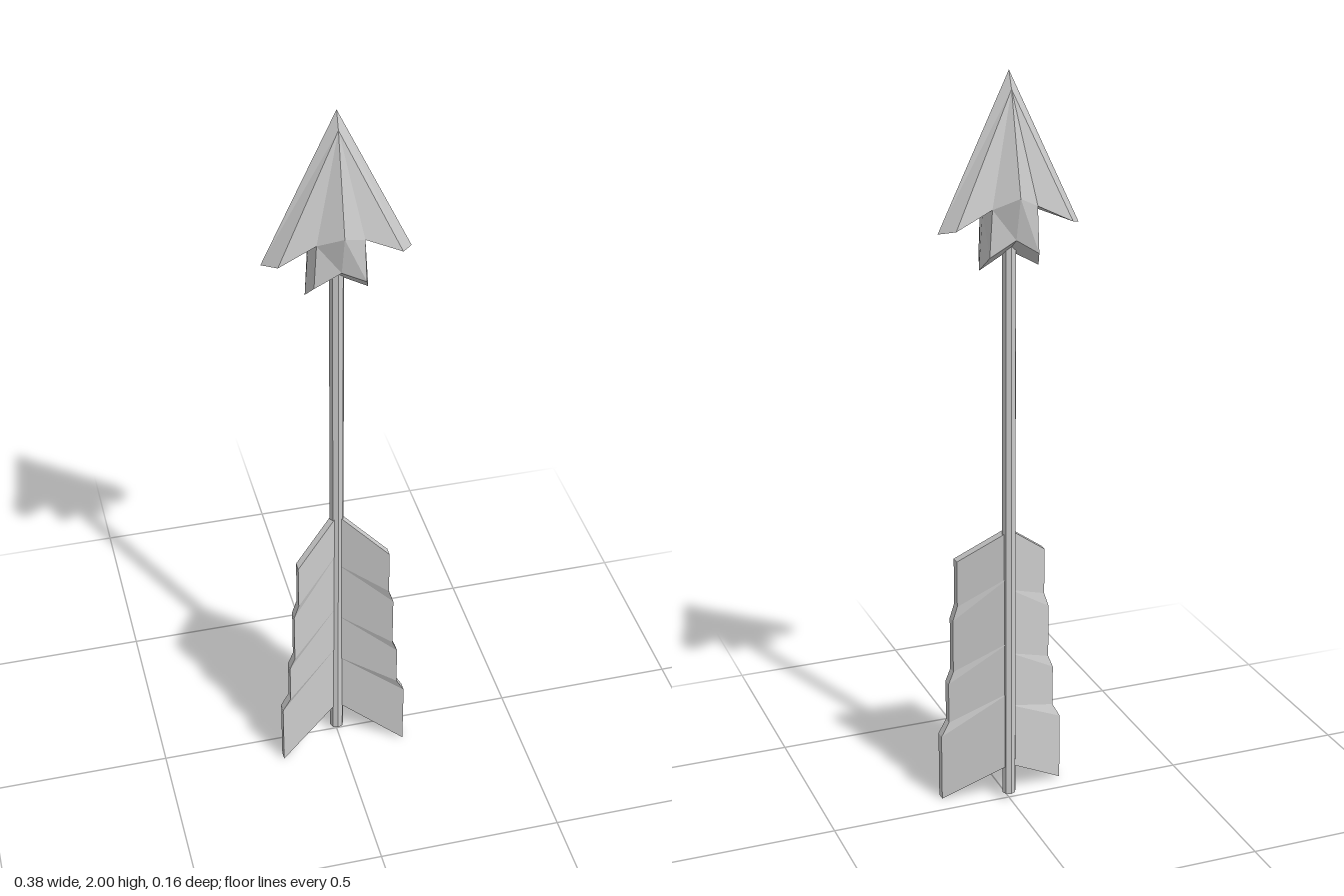
import * as THREE from 'three';

const material = new THREE.MeshStandardMaterial({ color: 0xcccccc, flatShading: true });

// Flat-faced mesh from polygons (arrays of [x, y, z] corners, counter-clockwise).
function facetMesh(name, polygons) {
  const pos = [];
  for (const p of polygons)
    for (let i = 1; i < p.length - 1; i++) pos.push(...p[0], ...p[i], ...p[i + 1]);
  const geo = new THREE.BufferGeometry();
  geo.setAttribute('position', new THREE.Float32BufferAttribute(pos, 3));
  geo.computeVertexNormals();
  const mesh = new THREE.Mesh(geo, material);
  mesh.name = name;
  return mesh;
}

// Reflect polygons across an axis (0 = x, 2 = z), keeping faces outward.
const mirror = (polygons, axis) =>
  polygons.map(p => p.map(v => v.map((c, i) => (i === axis ? -c : c))).reverse());

// Bevelled barbed head: one quarter, mirrored in z and x.
function arrowhead() {
  const tip = [0, 2, 0], barb = [0.188, 1.607, 0], notch = [0.07, 1.652, 0];
  const tail = [0.08, 1.505, 0], tailMid = [0, 1.55, 0];
  const ridgeTop = [0, 1.955, 0.018], ridge = [0, 1.698, 0.081], ridgeLow = [0, 1.587, 0.052];
  const faceBarb = [0.155, 1.62, 0.044], faceNotch = [0.06, 1.667, 0.044], faceTail = [0.066, 1.545, 0.04];
  const quarter = [
    [ridgeTop, ridge, faceNotch],
    [ridgeTop, faceNotch, faceBarb],
    [ridge, ridgeLow, faceTail, faceNotch],
    [tip, ridgeTop, faceBarb, barb],
    [faceBarb, faceNotch, notch, barb],
    [faceNotch, faceTail, tail, notch],
    [ridgeLow, tailMid, tail, faceTail],
  ];
  const half = [...quarter, ...mirror(quarter, 2)];
  return facetMesh('arrowhead', [...half, ...mirror(half, 0)]);
}

// Stepped feather vane: rows of [inner y, outer x, outer y], swept forward.
function vanePolygons() {
  const rows = [
    [0.80, 0.125, 0.70], [0.67, 0.125, 0.57], [0.63, 0.138, 0.53], [0.48, 0.138, 0.38],
    [0.445, 0.152, 0.345], [0.33, 0.152, 0.23], [0.29, 0.174, 0.19], [0.11, 0.174, 0],
  ];
  const thick = 0.025, zIn = -0.016, zOut = 0.058;
  // Corners of one row: inner back, outer back, outer front, inner front.
  const rings = rows.map(([yi, x, yo]) => [
    [0, yi, zIn], [x, yo, zOut], [x, yo, zOut + thick], [0, yi, zIn + thick],
  ]);
  const polys = [[...rings[0]].reverse(), rings[rings.length - 1]];
  for (let r = 0; r < rings.length - 1; r++) {
    const a = rings[r], b = rings[r + 1];
    for (let k = 0; k < 3; k++) polys.push([a[k], a[k + 1], b[k + 1], b[k]]);
  }
  return polys;
}

export function createModel() {
  const group = new THREE.Group();
  group.name = 'arrow';

  // Shaft
  const shaft = new THREE.Mesh(new THREE.CylinderGeometry(0.019, 0.019, 1.58, 8), material);
  shaft.name = 'shaft';
  shaft.position.y = 0.02 + 0.79;
  group.add(shaft);

  // Head
  group.add(arrowhead());

  // Feathers
  const vane = vanePolygons();
  group.add(facetMesh('leftFeather', vane));
  group.add(facetMesh('rightFeather', mirror(vane, 0)));
  return group;
}
